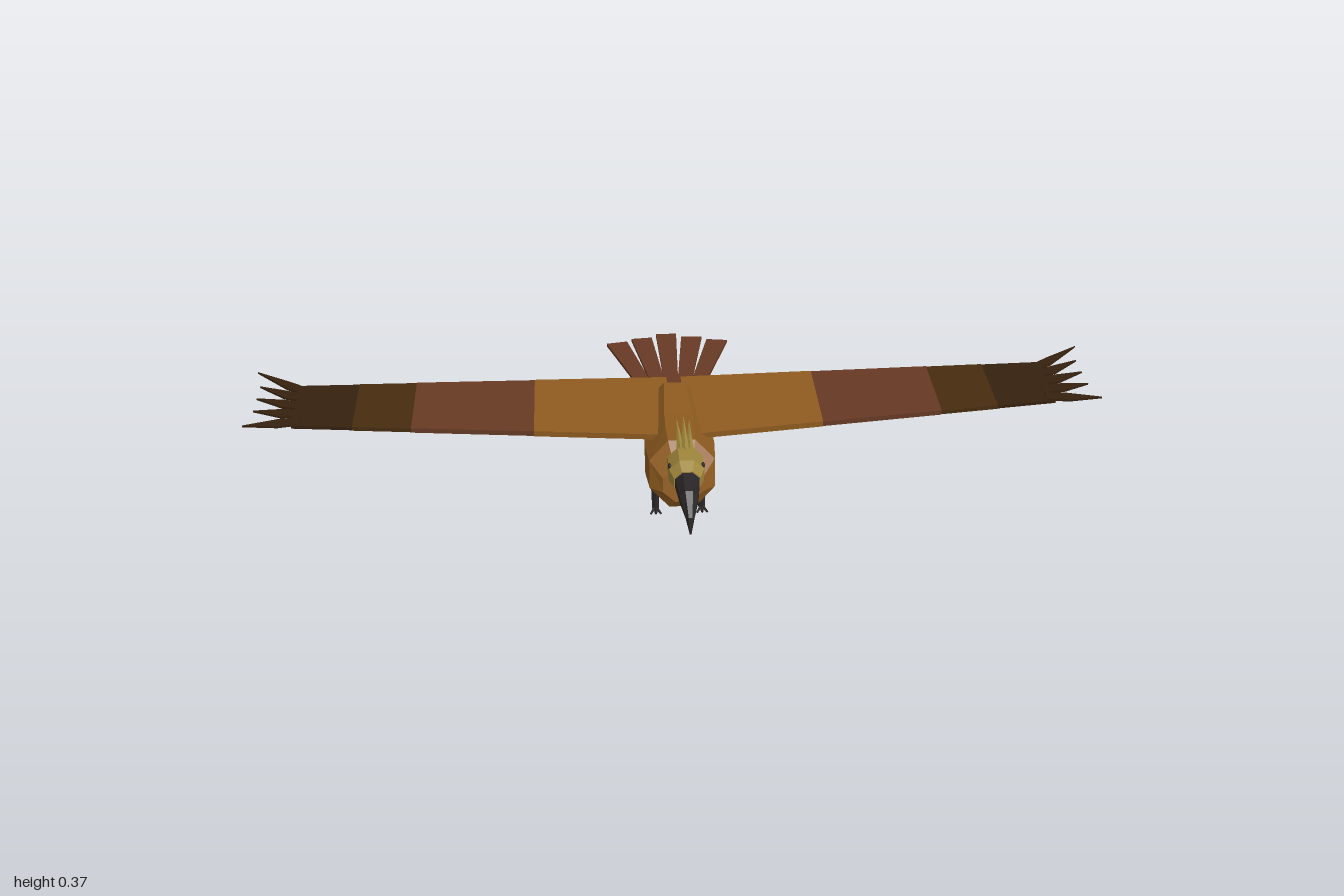
import * as THREE from 'three';

const mat = (name, color) => {
  const m = new THREE.MeshStandardMaterial({ color, flatShading: true });
  m.name = name;
  return m;
};

// Octagonal loft; each ring is [zBottom, yBottom, zTop, yTop, halfWidth], listed rear to front
function loft(rings, sides = 8) {
  const k = Math.cos(Math.PI / sides);
  const pos = [];
  const pt = ([zb, yb, zt, yt, w], j) => {
    const a = ((j + 0.5) / sides) * Math.PI * 2;
    const t = (Math.sin(a) / k + 1) / 2;
    return [(Math.cos(a) / k) * w, yb + (yt - yb) * t, zb + (zt - zb) * t];
  };
  const mid = ([zb, yb, zt, yt]) => [0, (yb + yt) / 2, (zb + zt) / 2];
  const first = rings[0], last = rings[rings.length - 1];
  for (let j = 0; j < sides; j++) {
    for (let i = 0; i < rings.length - 1; i++) {
      const a = pt(rings[i], j), b = pt(rings[i], j + 1);
      const c = pt(rings[i + 1], j + 1), d = pt(rings[i + 1], j);
      pos.push(...a, ...b, ...c, ...a, ...c, ...d);
    }
    pos.push(...mid(first), ...pt(first, j + 1), ...pt(first, j));
    pos.push(...mid(last), ...pt(last, j), ...pt(last, j + 1));
  }
  const g = new THREE.BufferGeometry();
  g.setAttribute('position', new THREE.Float32BufferAttribute(pos, 3));
  g.computeVertexNormals();
  return g;
}

// Flat horizontal plate with an outline of [x, z] points
function plate(points, y, thick) {
  const shape = new THREE.Shape(points.map(([x, z]) => new THREE.Vector2(x, -z)));
  return new THREE.ExtrudeGeometry(shape, { depth: thick, bevelEnabled: false })
    .rotateX(-Math.PI / 2).translate(0, y, 0);
}

// Tapered rod from a to b
function rod(a, b, ra, rb, sides = 6) {
  const p = new THREE.Vector3(...a), d = new THREE.Vector3(...b).sub(p);
  const g = new THREE.CylinderGeometry(rb, ra, d.length(), sides);
  g.applyQuaternion(new THREE.Quaternion().setFromUnitVectors(new THREE.Vector3(0, 1, 0), d.clone().normalize()));
  return g.translate(p.x + d.x / 2, p.y + d.y / 2, p.z + d.z / 2);
}

export function createModel() {
  const bird = new THREE.Group();
  bird.name = 'bird';
  const brown = mat('golden brown', 0x8f5c20);
  const rust = mat('reddish brown', 0x673a24);
  const dark = mat('dark brown', 0x472d10);
  const deep = mat('deep brown', 0x35210f);
  const gold = mat('head gold', 0xa0873c);
  const tan = mat('neck tan', 0x987230);
  const black = mat('beak black', 0x2a2526);

  const add = (parent, name, geometry, material) => {
    const m = new THREE.Mesh(geometry, material);
    m.name = name;
    parent.add(m);
  };

  add(bird, 'body', loft([
    [-0.123, 0.135, -0.123, 0.238, 0.048],
    [-0.095, 0.11, -0.095, 0.26, 0.062],
    [0.03, 0.085, 0.03, 0.26, 0.078],
    [0.1, 0.085, 0.1, 0.264, 0.08],
    [0.21, 0.12, 0.165, 0.27, 0.074],
    [0.227, 0.145, 0.21, 0.225, 0.045],
  ]), brown);

  add(bird, 'neck', loft([
    [0.215, 0.185, 0.175, 0.25, 0.036],
    [0.236, 0.235, 0.215, 0.276, 0.027],
    [0.272, 0.264, 0.262, 0.308, 0.024],
  ]), tan);

  add(bird, 'head', loft([
    [0.26, 0.268, 0.26, 0.312, 0.026],
    [0.28, 0.254, 0.28, 0.328, 0.038],
    [0.33, 0.254, 0.33, 0.328, 0.038],
    [0.355, 0.262, 0.355, 0.316, 0.029],
  ]), gold);

  add(bird, 'beak', loft([
    [0.35, 0.262, 0.35, 0.314, 0.027],
    [0.405, 0.26, 0.412, 0.307, 0.02],
    [0.435, 0.25, 0.455, 0.268, 0.009],
    [0.459, 0.228, 0.462, 0.232, 0.002],
  ]), black);

  // Swept-back crest
  [[0, 0.37, 0.222], [-0.014, 0.355, 0.21], [0.014, 0.343, 0.195]].forEach((tip) =>
    add(bird, 'crestFeather', rod([tip[0] * 0.7, 0.318, 0.288], tip, 0.01, 0.0005, 4), gold));

  // Tail fan
  for (let i = -2; i <= 2; i++) {
    const k = Math.abs(i), end = -0.465 + k * 0.02, x = i * 0.064;
    add(bird, 'tailFeather', plate([
      [i * 0.014 - 0.012, -0.1], [i * 0.014 + 0.012, -0.1],
      [x + 0.026, end + i * 0.002], [x - 0.026, end - i * 0.002],
    ], 0.17 + k * 0.001, 0.008), rust);
  }

  // Wing bands: start x, end x, thickness, colour
  const bands = [
    [0.02, 0.335, 0.014, brown], [0.335, 0.615, 0.012, rust],
    [0.615, 0.75, 0.01, dark], [0.75, 0.89, 0.008, deep],
  ];
  const lead = (x) => 0.108 - x * 0.091;
  // Wing tip feathers: base z, tip x, tip z
  const tips = [[-0.125, 1, -0.217], [-0.095, 0.985, -0.15], [-0.06, 0.985, -0.095],
    [-0.025, 0.985, -0.04], [0.008, 1, 0.024]];

  for (const s of [-1, 1]) {
    const wing = new THREE.Group();
    wing.name = s > 0 ? 'leftWing' : 'rightWing';
    wing.rotation.z = s * 0.013;
    bird.add(wing);
    for (const [a, b, t, m] of bands) {
      add(wing, 'wingBand', plate([
        [s * a, lead(a)], [s * b, lead(b)], [s * b, -0.145], [s * a, -0.145],
      ], 0.238 - t / 2, t), m);
    }
    tips.forEach(([z, tx, tz], i) => {
      const mz = z + (tz - z) * 0.35;
      add(wing, 'tipFeather', plate([
        [s * 0.87, z + 0.014], [s * 0.92, mz + 0.018], [s * tx, tz],
        [s * 0.92, mz - 0.014], [s * 0.87, z - 0.014],
      ], 0.234 + i * 0.0012, 0.005), deep);
    });

    // Leg and foot
    const x = s * 0.055;
    const leg = new THREE.Group();
    leg.name = s > 0 ? 'leftLeg' : 'rightLeg';
    bird.add(leg);
    add(leg, 'thigh', rod([x, 0.13, 0.04], [x, 0.083, 0.041], 0.019, 0.012), brown);
    add(leg, 'shank', rod([x, 0.09, 0.041], [x, 0.003, 0.053], 0.012, 0.009), black);
    for (const dx of [-0.012, 0, 0.012]) {
      add(leg, 'toe', rod([x, 0.005, 0.05], [x + dx, 0.003, 0.077], 0.005, 0.003, 4), black);
    }
    add(leg, 'backToe', rod([x, 0.005, 0.053], [x, 0.003, 0.037], 0.005, 0.003, 4), black);

    const eye = new THREE.SphereGeometry(0.007, 8, 6).scale(0.6, 1, 1).translate(s * 0.036, 0.309, 0.322);
    add(bird, 'eye', eye, black);
  }
  return bird;
}
